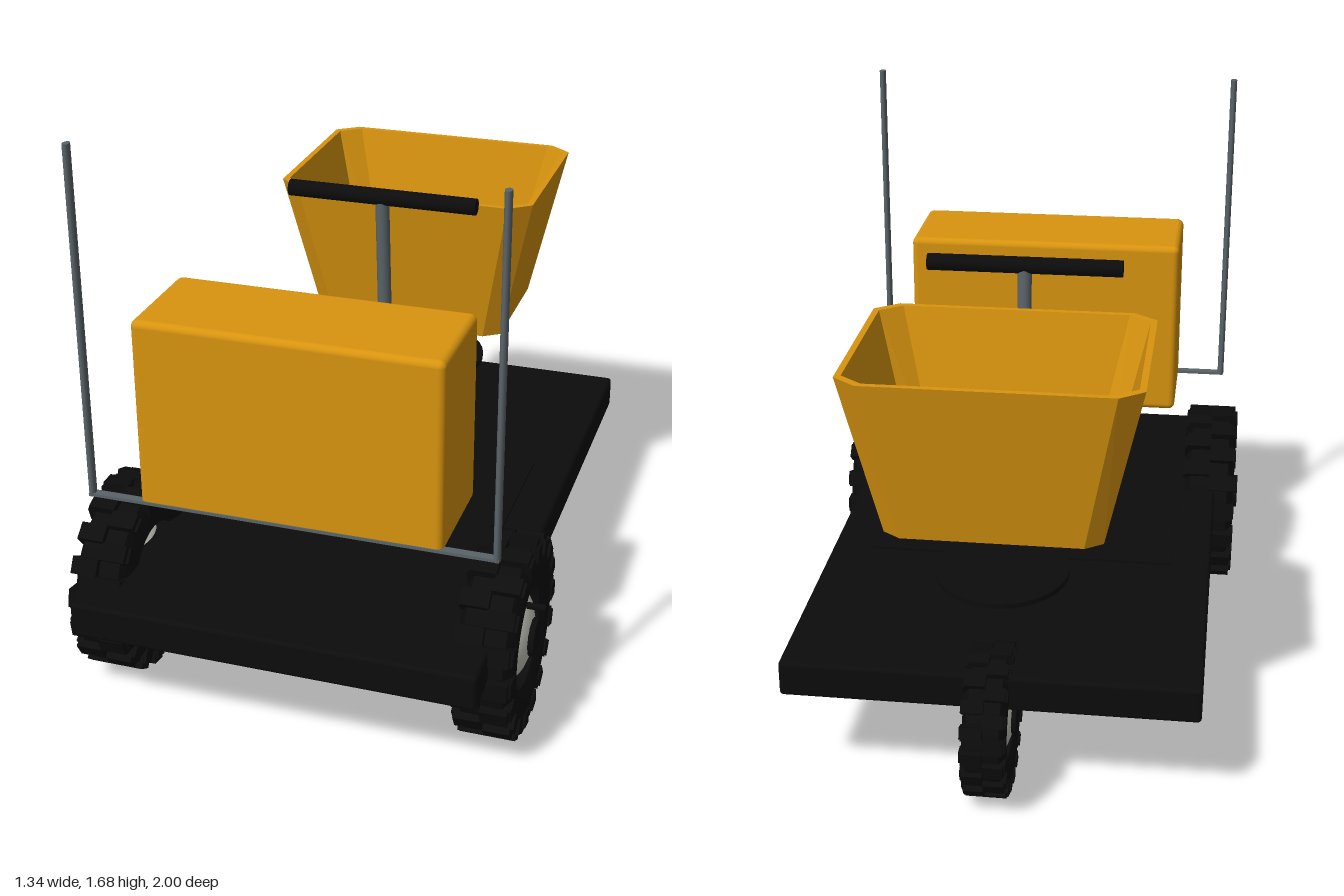
import * as THREE from 'three';
import { toCreasedNormals } from 'three/addons/utils/BufferGeometryUtils.js';
import { RoundedBoxGeometry } from 'three/addons/geometries/RoundedBoxGeometry.js';

const material = (name, color) => new THREE.MeshStandardMaterial({ name, color });

export function createModel() {
  const orange = material('orange paint', 0xd8940f);
  const black = material('black rubber', 0x0c0c0c);
  const steel = material('grey steel', 0x5a6469);
  const silver = material('pale hub metal', 0xc6cabd);

  const CX = -0.015; // centre line of the cart
  const model = new THREE.Group();
  model.name = 'cart';

  const add = (parent, name, geometry, mat, x = 0, y = 0, z = 0) => {
    const mesh = new THREE.Mesh(geometry, mat);
    mesh.name = name;
    mesh.position.set(x, y, z);
    parent.add(mesh);
    return mesh;
  };

  // Turns a (radius, x) profile around the x axis
  const turned = (profile, segments = 48) => {
    const g = new THREE.LatheGeometry(profile.map(([r, x]) => new THREE.Vector2(r, x)), segments);
    g.rotateZ(-Math.PI / 2);
    return toCreasedNormals(g, 0.6);
  };

  // Rod between two points
  const rod = (name, a, b, radius, mat) => {
    const from = new THREE.Vector3(...a), to = new THREE.Vector3(...b);
    const dir = to.clone().sub(from);
    const mesh = add(model, name, new THREE.CylinderGeometry(radius, radius, dir.length(), 20), mat);
    mesh.position.copy(from).addScaledVector(dir, 0.5);
    mesh.quaternion.setFromUnitVectors(new THREE.Vector3(0, 1, 0), dir.normalize());
  };

  // Deck with a thin raised floor panel
  add(model, 'deck', new RoundedBoxGeometry(1.165, 0.105, 1.865, 2, 0.012), black, CX, 0.3625, 0.0675);
  add(model, 'floorPanel', new THREE.BoxGeometry(0.93, 0.03, 0.59), black, CX, 0.408, 0.125);

  // Wheel parts, shared by all three wheels
  const tireGeometry = turned([
    [0.152, -0.065], [0.185, -0.08], [0.235, -0.08], [0.27, -0.06],
    [0.27, 0.06], [0.235, 0.08], [0.185, 0.08], [0.152, 0.065], [0.152, -0.065],
  ]);
  const hubGeometry = turned([
    [0, -0.085], [0.05, -0.08], [0.1, -0.062], [0.13, -0.04], [0.142, -0.015],
    [0.142, 0.015], [0.13, 0.04], [0.1, 0.062], [0.05, 0.08], [0, 0.085],
  ]);
  const capGeometry = new THREE.CylinderGeometry(0.055, 0.055, 0.19, 12).rotateZ(Math.PI / 2);
  const valveGeometry = new THREE.CylinderGeometry(0.01, 0.01, 0.07, 10).rotateZ(Math.PI / 2);
  const treadGeometry = new THREE.BoxGeometry(0.077, 0.04, 0.05);
  const lugGeometry = new THREE.BoxGeometry(0.03, 0.045, 0.045);

  const addWheel = (name, x, y, z, scale) => {
    const wheel = new THREE.Group();
    wheel.name = name;
    add(wheel, 'tire', tireGeometry, black);
    add(wheel, 'hub', hubGeometry, silver);
    add(wheel, 'axleCap', capGeometry, black);
    add(wheel, 'valve', valveGeometry, black, 0.08, 0.1, 0);
    // Staggered tread blocks and shoulder lugs
    const count = 18;
    for (let i = 0; i < count * 2; i++) {
      const side = i % 2 ? 1 : -1;
      const block = new THREE.Group();
      block.name = 'treadBlock';
      block.rotation.x = (i / (count * 2)) * Math.PI * 2;
      add(block, 'tread', treadGeometry, black, side * 0.0385, 0.27, 0);
      add(block, 'shoulderLug', lugGeometry, black, side * 0.07, 0.25, 0);
      wheel.add(block);
    }
    wheel.position.set(x, y, z);
    wheel.scale.setScalar(scale);
    model.add(wheel);
  };
  addWheel('frontRightWheel', CX - 0.563, 0.305, 0.61, 1);
  addWheel('frontLeftWheel', CX + 0.563, 0.305, 0.61, 1);
  addWheel('rearWheel', CX, 0.23, -0.78, 0.745);

  // Front cargo box
  add(model, 'cargoBox', new RoundedBoxGeometry(0.87, 0.565, 0.335, 3, 0.02), orange, CX, 0.9325, 0.65);

  // Marker poles on a thin crossbar
  add(model, 'crossbar', new THREE.BoxGeometry(1.18, 0.009, 0.025), steel, CX, 0.664, 0.808);
  for (const side of [-1, 1]) {
    const pole = new THREE.CylinderGeometry(0.01, 0.01, 1.03, 16).scale(1, 1, 1.5);
    add(model, 'markerPole', pole, steel, CX + side * 0.582, 1.175, 0.808);
  }

  // Steering column and handlebar
  rod('steeringColumn', [CX, 0.4, -0.103], [CX, 1.3, -0.038], 0.021, steel);
  rod('handlebar', [CX - 0.29, 1.312, -0.037], [CX + 0.29, 1.312, -0.037], 0.025, black);

  // Oval plate under the tub
  const plate = new THREE.CylinderGeometry(1, 1, 0.015, 40).scale(0.19, 1, 0.217);
  add(model, 'seatPlate', plate, black, CX, 0.57, -0.538);

  // Open tub with clipped corners
  add(model, 'tub', tubGeometry(), orange, CX, 0, -0.54);

  return model;
}

// Rings run from the underside, up the outside, over the rim and down to the inner floor
function tubGeometry() {
  const ring = (y, hx, hz, cx, cz) => [
    [hx, hz - cz], [hx - cx, hz], [cx - hx, hz], [-hx, hz - cz],
    [-hx, cz - hz], [cx - hx, -hz], [hx - cx, -hz], [hx, cz - hz],
  ].map(([x, z]) => [x, y, z]);
  const rings = [
    ring(0.77, 0, 0, 0, 0),
    ring(0.77, 0.3, 0.228, 0.05, 0.035),
    ring(1.245, 0.405, 0.315, 0.067, 0.052),
    ring(1.245, 0.387, 0.297, 0.062, 0.048),
    ring(0.79, 0.28, 0.21, 0.055, 0.035),
    ring(0.79, 0, 0, 0, 0),
  ];
  const positions = [];
  for (let r = 0; r < rings.length - 1; r++) {
    const a = rings[r], b = rings[r + 1];
    for (let i = 0; i < 8; i++) {
      const j = (i + 1) % 8;
      if (r < rings.length - 2) positions.push(...a[i], ...b[i], ...b[j]);
      if (r > 0) positions.push(...a[i], ...b[j], ...a[j]);
    }
  }
  const g = new THREE.BufferGeometry();
  g.setAttribute('position', new THREE.Float32BufferAttribute(positions, 3));
  g.computeVertexNormals();
  return g;
}
